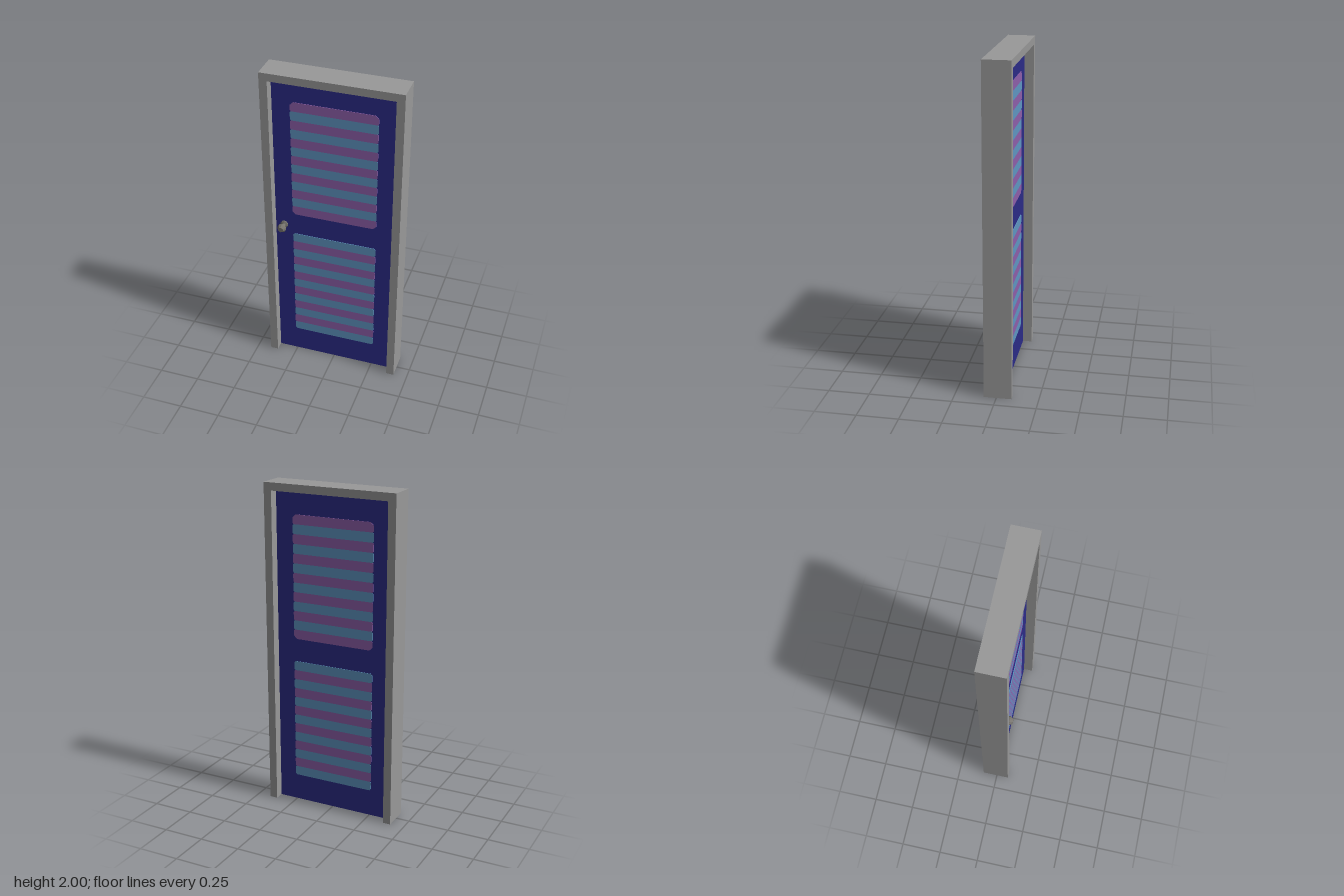
import * as THREE from 'three';

const mat = (name, color) => {
  const m = new THREE.MeshStandardMaterial({ color });
  m.name = name;
  return m;
};

function add(parent, name, geometry, material) {
  const mesh = new THREE.Mesh(geometry, material);
  mesh.name = name;
  parent.add(mesh);
  return mesh;
}

const polygon = (points) => new THREE.Shape(points.map(([x, y]) => new THREE.Vector2(x, y)));

// Slat outline with separate corner cuts at the top and bottom
function slatShape(w, y0, y1, cutBottom, cutTop) {
  const b = cutBottom, t = cutTop;
  return polygon([
    [-w + b, y0], [w - b, y0], [w, y0 + b], [w, y1 - t],
    [w - t, y1], [-w + t, y1], [-w, y1 - t], [-w, y0 + b],
  ]);
}

export function createModel() {
  const group = new THREE.Group();
  const grey = mat('frame grey', 0x999999);
  const navy = mat('door navy', 0x2c2c88);
  const purple = mat('slat purple', 0x8f60ac);
  const blue = mat('slat blue', 0x6097c4);
  const metal = mat('knob metal', 0x77746e);

  // Door frame: two jambs and a header, open at the bottom
  const outer = 0.415, inner = 0.367, headY = 1.953;
  const frame = polygon([
    [-outer, 0], [-inner, 0], [-inner, headY], [inner, headY],
    [inner, 0], [outer, 0], [outer, 2], [-outer, 2],
  ]);
  add(group, 'doorFrame', new THREE.ExtrudeGeometry(frame, { depth: 0.165, bevelEnabled: false }), grey)
    .position.z = -0.09;

  // Door leaf, recessed equally from both sides
  const doorZ = -0.0075, doorDepth = 0.05;
  add(group, 'doorLeaf', new THREE.BoxGeometry(inner * 2, headY, doorDepth), navy)
    .position.set(0, headY / 2, doorZ);

  // Two slatted panels, showing on both faces of the door
  const slatDepth = doorDepth + 0.006;
  const addPanel = (name, bottom, top, colours, endCut) => {
    const panel = new THREE.Group();
    panel.name = name;
    const count = 13, pitch = (top - bottom) / count;
    for (let i = 0; i < count; i++) {
      const y1 = top - i * pitch;
      const shape = slatShape(0.259, y1 - pitch, y1,
        i === count - 1 ? endCut : 0.007, i === 0 ? endCut : 0.007);
      const geometry = new THREE.ExtrudeGeometry(shape, { depth: slatDepth, bevelEnabled: false });
      add(panel, 'slat', geometry, colours[i % 2]).position.z = doorZ - slatDepth / 2;
    }
    group.add(panel);
  };
  addPanel('upperPanel', 1.062, 1.817, [purple, blue], 0.02);
  addPanel('lowerPanel', 0.166, 0.92, [blue, purple], 0.01);

  // Faceted door knob on the front: rose, neck and grip
  const profile = [
    [0, 0], [0.024, 0], [0.024, 0.008], [0.012, 0.014], [0.012, 0.03],
    [0.026, 0.042], [0.027, 0.052], [0.016, 0.07], [0, 0.07],
  ].map(([r, y]) => new THREE.Vector2(r, y));
  const knobGeometry = new THREE.LatheGeometry(profile, 10).toNonIndexed();
  knobGeometry.computeVertexNormals();
  const knob = add(group, 'doorKnob', knobGeometry, metal);
  knob.rotation.x = Math.PI / 2;
  knob.position.set(-0.314, 0.975, 0.016);

  return group;
}
